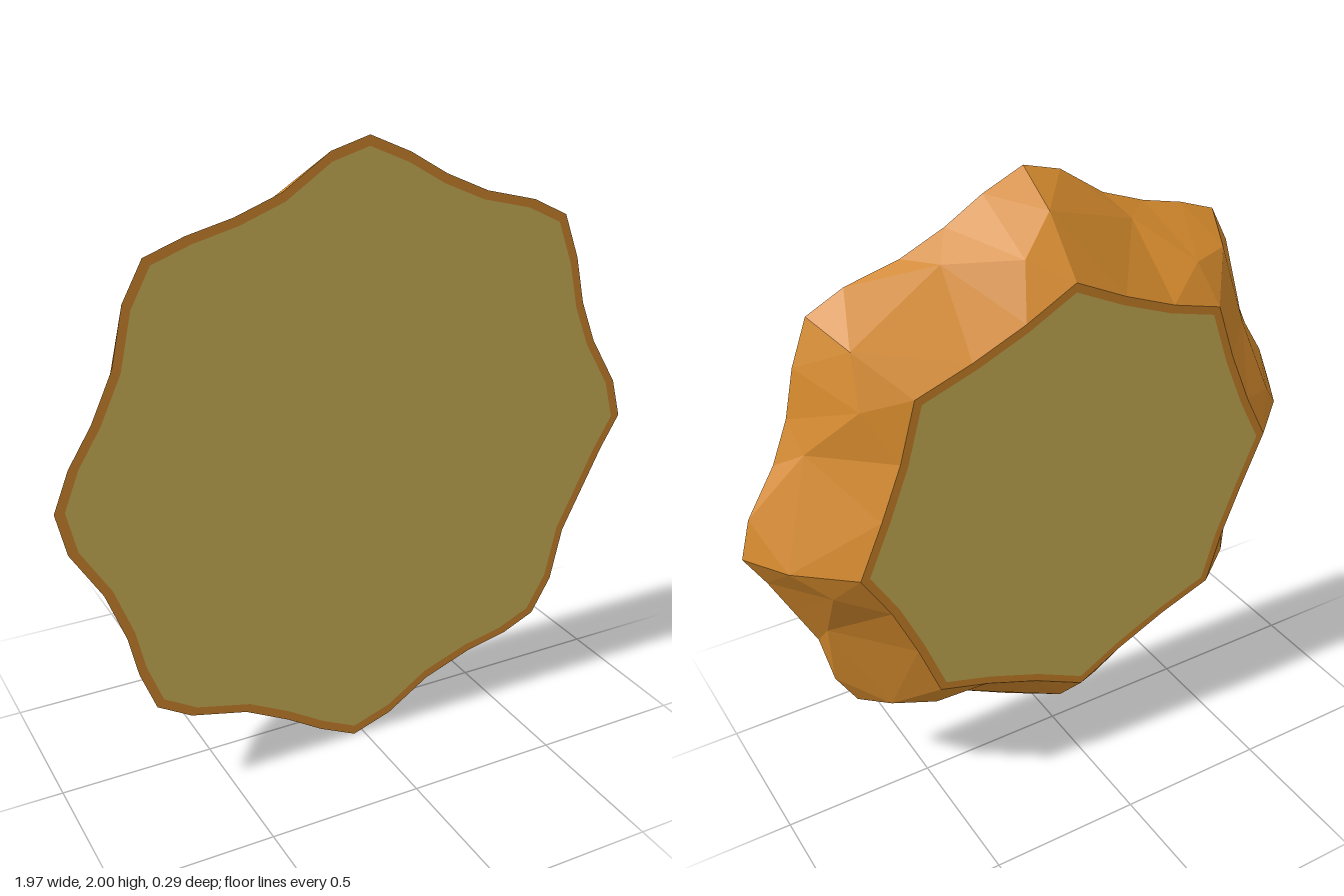
import * as THREE from 'three';

const DEPTH = 0.146, CY = 1;

// front outline, clockwise from the top: eight lobes of five points each
const OUTLINE = [
  [0.01, 2], [0.145, 1.94], [0.27, 1.865], [0.415, 1.8], [0.59, 1.755],
  [0.71, 1.695], [0.765, 1.55], [0.8, 1.395], [0.855, 1.257], [0.95, 1.1],
  [0.985, 0.97], [0.92, 0.86], [0.85, 0.72], [0.78, 0.58], [0.74, 0.4],
  [0.67, 0.28], [0.555, 0.23], [0.41, 0.2], [0.245, 0.14], [0.1, 0.045],
  [-0.035, 0], [-0.16, 0.06], [-0.28, 0.135], [-0.425, 0.21], [-0.61, 0.255],
  [-0.72, 0.32], [-0.77, 0.45], [-0.8, 0.585], [-0.86, 0.745], [-0.955, 0.9],
  [-0.985, 1.035], [-0.935, 1.16], [-0.86, 1.28], [-0.79, 1.43], [-0.75, 1.61],
  [-0.685, 1.73], [-0.56, 1.775], [-0.415, 1.81], [-0.265, 1.865], [-0.115, 1.965],
];
const N = OUTLINE.length;

// point on the outline at parameter t, scaled about the centre
function outlinePoint(t, scale, z) {
  const i = Math.floor(t), f = t - i;
  const a = OUTLINE[i % N], b = OUTLINE[(i + 1) % N];
  const x = a[0] + (b[0] - a[0]) * f, y = a[1] + (b[1] - a[1]) * f;
  return { t, p: new THREE.Vector3(x * scale, CY + (y - CY) * scale, z) };
}

// ring repeating the same [offset, scale, z] steps on every lobe
function lobedRing(steps) {
  const ring = [];
  for (let lobe = 0; lobe < 8; lobe++) {
    for (const [dt, s, z] of steps) ring.push(outlinePoint(lobe * 5 + dt, s, z));
  }
  return ring;
}

// join two rings of different point counts with triangles
function bridge(a, b, out) {
  const at = (r, i) => r[i % r.length].p;
  const time = (r, i) => r[i % r.length].t + (i >= r.length ? N : 0);
  let i = 0, j = 0;
  while (i < a.length || j < b.length) {
    const midA = time(a, i) + time(a, i + 1), midB = time(b, j) + time(b, j + 1);
    const stepA = j >= b.length || (i < a.length && midA <= midB);
    const tri = stepA
      ? [at(a, i), at(a, i + 1), at(b, j)]
      : [at(a, i), at(b, j + 1), at(b, j)];
    for (const v of tri) out.push(v.x, v.y, v.z);
    if (stepA) i++; else j++;
  }
}

// flat rim and inset face closing one end
function addEnd(group, name, ring, inset, z, dir, shellMat, faceMat) {
  const pts = (s) => ring.map(({ p }) => new THREE.Vector2(p.x * s * dir, CY + (p.y - CY) * s));
  const rim = new THREE.Shape(pts(1));
  rim.holes.push(new THREE.Path(pts(inset)));
  for (const [part, shape, mat] of [['Rim', rim, shellMat], ['Face', new THREE.Shape(pts(inset)), faceMat]]) {
    const geo = new THREE.ShapeGeometry(shape);
    if (dir < 0) geo.rotateY(Math.PI);
    const mesh = new THREE.Mesh(geo, mat);
    mesh.position.z = z;
    mesh.name = name + part;
    group.add(mesh);
  }
}

export function createModel() {
  const group = new THREE.Group();
  group.name = 'lobedDisc';
  const shellMat = new THREE.MeshStandardMaterial({ color: 0xd98d2e });
  shellMat.name = 'orangeShell';
  shellMat.flatShading = true;
  const faceMat = new THREE.MeshStandardMaterial({ color: 0xd6bc5c });
  faceMat.name = 'paleFace';

  const front = OUTLINE.map((_, i) => outlinePoint(i, 1, DEPTH));
  const middle = lobedRing([[0, 0.91, 0], [1, 0.86, -0.06], [2.5, 0.95, 0.07]]);
  const back = lobedRing([[0, 0.745, -DEPTH], [1.7, 0.74, -DEPTH], [3.3, 0.74, -DEPTH]]);

  // faceted side wall
  const verts = [];
  bridge(front, middle, verts);
  bridge(middle, back, verts);
  const geo = new THREE.BufferGeometry();
  geo.setAttribute('position', new THREE.Float32BufferAttribute(verts, 3));
  geo.computeVertexNormals();
  const wall = new THREE.Mesh(geo, shellMat);
  wall.name = 'sideWall';
  group.add(wall);

  addEnd(group, 'front', front, 0.968, DEPTH, 1, shellMat, faceMat);
  addEnd(group, 'back', back, 0.96, -DEPTH, -1, shellMat, faceMat);
  return group;
}
